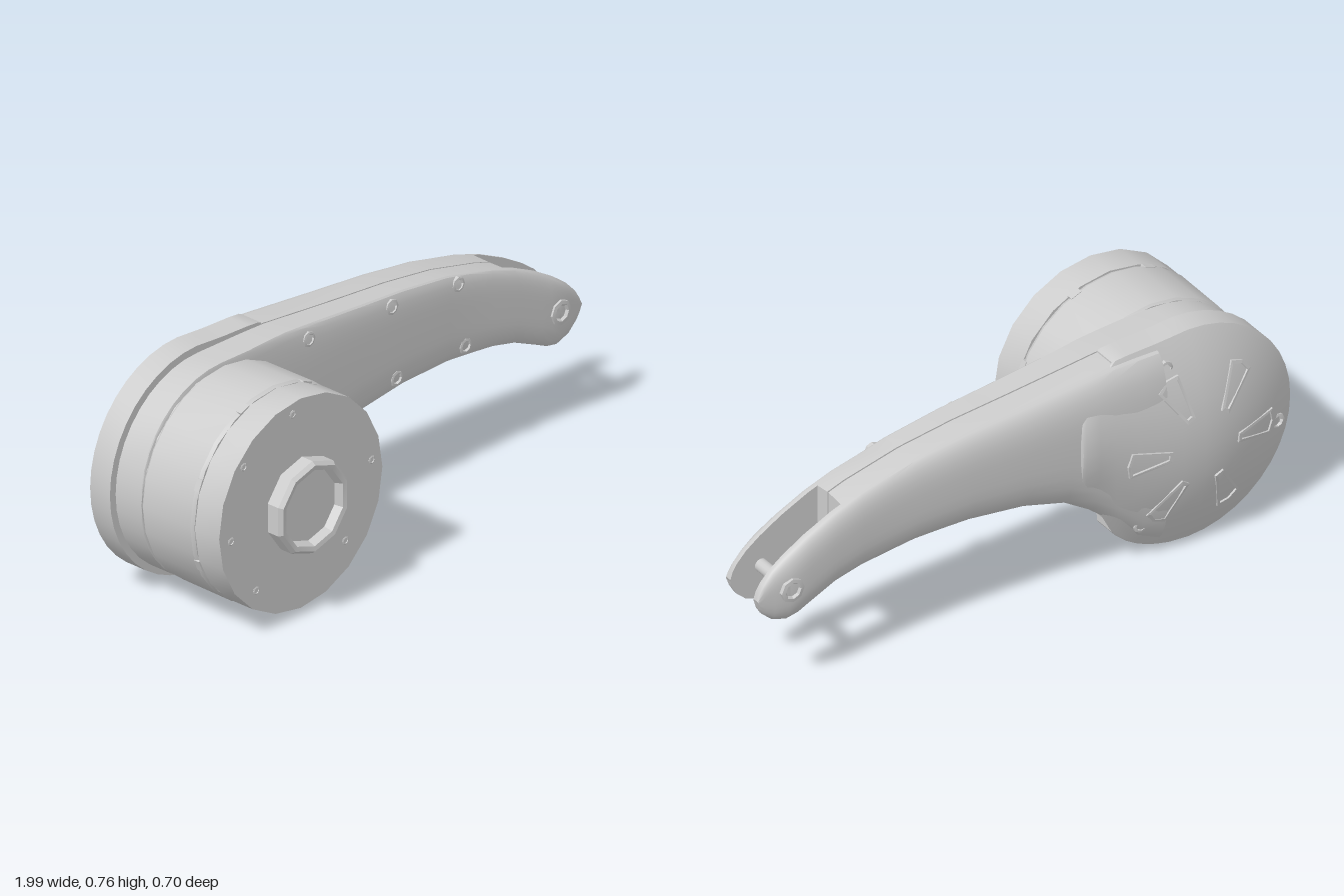
import * as THREE from 'three';
import { toCreasedNormals } from 'three/addons/utils/BufferGeometryUtils.js';

const material = new THREE.MeshStandardMaterial({ color: 0xcccccc, side: THREE.DoubleSide });
const CX = -0.62, CY = 0.38, CAP_R = 0.38, DRUM_R = 0.358;

// Linear interpolation through [x, value] pairs
function lerpTable(table, x) {
  if (x <= table[0][0]) return table[0][1];
  for (let i = 1; i < table.length; i++) {
    const [x0, a] = table[i - 1], [x1, b] = table[i];
    if (x <= x1) return a + (b - a) * (x - x0) / (x1 - x0);
  }
  return table[table.length - 1][1];
}

// Side outline: round head running into a drooping arm
const chord = (x, r) => Math.sqrt(Math.max(0, r * r - (x - CX) ** 2));
const armTop = [[-0.35, 0.738], [-0.18, 0.722], [0, 0.706], [0.2, 0.69], [0.4, 0.664], [0.6, 0.618], [0.7, 0.584],
  [0.8, 0.538], [0.88, 0.492], [0.93, 0.456], [0.965, 0.42], [0.98, 0.395], [0.988, 0.37]];
const armBottom = [[-0.25, 0.238], [-0.15, 0.303], [0, 0.346], [0.2, 0.371], [0.4, 0.374], [0.6, 0.354],
  [0.7, 0.332], [0.8, 0.289], [0.84, 0.271], [0.88, 0.264], [0.93, 0.28], [0.965, 0.312], [0.98, 0.337], [0.988, 0.365]];
const topY = (x, r) => x < CX ? CY + chord(x, r) : lerpTable([[CX, CY + r], ...armTop], x);
const bottomY = (x, r) => x < -0.33 ? CY - chord(x, r) : lerpTable([[-0.33, CY - chord(-0.33, r)], ...armBottom], x);

// Each shell has a flat inner face, a wall up to its edge, and a crowned outer face
const frontShell = {
  r: DRUM_R, side: 1,
  inner: x => x < 0.662 ? -0.157 : -0.11,
  edge: x => lerpTable([[-0.5, -0.055], [-0.2, -0.075], [0.5, -0.095], [1, -0.1]], x),
  crown: x => lerpTable([[-0.4, -0.046], [0, -0.06], [0.5, -0.075], [0.87, -0.066], [0.988, -0.085]], x),
  round: t => Math.sqrt(Math.max(0, 1 - t ** 4)),
};
const backShell = {
  r: DRUM_R, side: -1,
  inner: x => x < 0.662 ? -0.162 : -0.235,
  edge: x => lerpTable([[-0.4, -0.245], [0.3, -0.235], [1, -0.245]], x),
  crown: x => lerpTable([[-0.4, -0.318], [0, -0.3], [0.5, -0.277], [0.87, -0.281], [0.988, -0.26]], x),
  round: t => Math.sqrt(Math.max(0, 1 - Math.abs(t) ** 3)),
};
const capShell = {
  r: CAP_R, side: -1,
  inner: () => -0.16,
  edge: () => -0.245,
  crown: x => x < CX ? -0.245 - 0.102 * (1 - ((x - CX) / CAP_R) ** 2) : lerpTable([[CX, -0.347], [-0.18, -0.326]], x),
  round: t => Math.max(0, 1 - t * t),
};
const outerZ = (s, x, t) => s.edge(x) + (s.crown(x) - s.edge(x)) * s.round(t);
function surfaceZ(s, x, y) {
  const a = bottomY(x, s.r), b = topY(x, s.r);
  return outerZ(s, x, THREE.MathUtils.clamp((2 * y - a - b) / (b - a), -1, 1));
}

// Loft a shell through stations [x, grow, sink]; shear bends the stations across the height
function loftShell(s, stations, shear = () => 0) {
  const n = 14, ring = n + 3, pos = [], index = [];
  for (const [sx, grow = 0, sink = 0] of stations) {
    for (let k = -1; k <= n + 1; k++) {
      const t = -Math.cos(Math.PI * THREE.MathUtils.clamp(k, 0, n) / n);
      const x = sx - shear(sx, t);
      const a = bottomY(x, s.r) - grow, b = topY(x, s.r) + grow;
      const z = k < 0 || k > n ? s.inner(x) : outerZ(s, x, t) - s.side * sink;
      pos.push(x, (a + b) / 2 + t * (b - a) / 2, z);
    }
  }
  for (let i = 0; i < stations.length - 1; i++) {
    for (let j = 0; j < ring; j++) {
      const k = (j + 1) % ring;
      const a = i * ring + j, b = a + ring, c = i * ring + k, d = c + ring;
      if (s.side > 0) index.push(a, b, c, b, d, c);
      else index.push(a, c, b, b, c, d);
    }
  }
  const g = new THREE.BufferGeometry();
  g.setAttribute('position', new THREE.Float32BufferAttribute(pos, 3));
  g.setIndex(index);
  return toCreasedNormals(g, 0.5);
}

export function createModel() {
  const model = new THREE.Group();
  const add = (name, geometry, x = 0, y = 0, z = 0) => {
    const mesh = new THREE.Mesh(geometry, material);
    mesh.name = name;
    mesh.position.set(x, y, z);
    model.add(mesh);
    return mesh;
  };
  // Turned part about the z axis, profile as [radius, z]
  const turned = (profile, sides) => toCreasedNormals(
    new THREE.LatheGeometry(profile.map(p => new THREE.Vector2(...p)), sides).rotateX(Math.PI / 2), 0.4);
  // Small recessed screw, facing +z or -z
  const screw = (name, x, y, z, r, facing) => {
    const g = turned([[r, -0.015], [r, 0.003], [r * 0.7, 0.005], [r * 0.55, -0.004], [0, -0.004]], 8);
    const mesh = add(name, g, x, y, z);
    if (facing < 0) mesh.rotation.y = Math.PI;
  };

  // Arm halves: one body up to the fork, two cheeks beyond it
  const headStations = [];
  for (let i = 0; i <= 10; i++) headStations.push(-Math.cos(Math.PI / 2 * i / 10));
  const armStations = [-0.5, -0.42, -0.33, -0.25, -0.15, 0, 0.1, 0.2, 0.3, 0.4, 0.5, 0.6, 0.66, 0.664,
    0.7, 0.75, 0.8, 0.84, 0.88, 0.93, 0.965, 0.98, 0.988].map(x => [x]);
  add('frontArmShell', loftShell(frontShell, [...headStations.map(c => [CX + c * DRUM_R]), ...armStations]));
  add('backArmShell', loftShell(backShell, armStations));

  // Domed end cap with a bowed lip overlapping the arm
  const bow = (x, t) => 0.16 * t ** 4 * THREE.MathUtils.smoothstep(x, -0.6, -0.18);
  add('domedCap', loftShell(capShell, [
    ...headStations.map(c => [CX + c * CAP_R]),
    [-0.54, 0.001], [-0.46, 0.002], [-0.38, 0.004], [-0.3, 0.006], [-0.24, 0.008],
    [-0.19, 0.008], [-0.18, 0.005, 0.004], [-0.179, -0.02, 0.04]], bow));

  // Radial wedge openings, framed and draped over the dome
  for (let i = 0; i < 6; i++) {
    const wedge = (r0, r1, w0, w1) => [[r0, -w0], [r1, -w1], [r1 + 0.012, 0], [r1, w1], [r0, w0]]
      .map(p => new THREE.Vector2(...p));
    const shape = new THREE.Shape(wedge(0.125, 0.275, 0.016, 0.044));
    shape.holes.push(new THREE.Path(wedge(0.137, 0.266, 0.009, 0.034).reverse()));
    const g = new THREE.ExtrudeGeometry(shape, { depth: 0.014, bevelEnabled: false });
    g.rotateZ(i * Math.PI / 3 + 0.1).translate(CX, CY, -0.007);
    const p = g.attributes.position;
    for (let k = 0; k < p.count; k++) p.setZ(k, p.getZ(k) + surfaceZ(capShell, p.getX(k), p.getY(k)));
    g.computeVertexNormals();
    add('capSlot', g);
  }
  for (const deg of [70, 190, 310]) {
    const a = THREE.MathUtils.degToRad(deg);
    const x = CX + 0.315 * Math.cos(a), y = CY + 0.315 * Math.sin(a);
    screw('capScrew', x, y, surfaceZ(capShell, x, y), 0.026, -1);
  }

  // Drum: barrel and front ring separated by a shallow groove
  const drumX = -0.625;
  add('drumCore', turned([[0.345, -0.1], [0.345, 0.25]], 20), drumX, CY);
  add('drumBarrel', turned([[0.34, -0.043], [0.352, -0.043], [0.358, -0.035], [0.36, 0.17], [0.354, 0.182], [0.34, 0.182]], 24), drumX, CY);
  add('drumFrontRing', turned([[0.34, 0.187], [0.357, 0.187], [0.357, 0.291], [0, 0.291]], 20), drumX, CY);
  for (let i = 0; i < 8; i++) {
    const a = (i + 0.5) * Math.PI / 4;
    const clip = add('drumClip', new THREE.BoxGeometry(0.012, 0.04, 0.022),
      drumX + 0.353 * Math.cos(a), CY + 0.353 * Math.sin(a), 0.176);
    clip.rotation.z = a;
  }
  for (const [x, y] of [[-0.66, 0.695], [-0.875, 0.59], [-0.93, 0.355], [-0.82, 0.15], [-0.43, 0.185], [-0.315, 0.42]])
    screw('drumScrew', x, y, 0.289, 0.014, 1);

  // Hub with a recessed socket
  add('hub', turned([[0.157, 0.28], [0.157, 0.336], [0.146, 0.349], [0.13, 0.346], [0.12, 0.318], [0, 0.318]], 10), CX, CY);

  // Arm screws
  for (const [x, y] of [[-0.235, 0.683], [0.14, 0.658], [0.44, 0.627], [0.16, 0.408], [0.47, 0.408], [-0.14, 0.335]])
    screw('armScrew', x, y, surfaceZ(frontShell, x, y), 0.026, 1);

  // Fork pin and its bosses
  const pin = add('forkPin', new THREE.CylinderGeometry(0.022, 0.022, 0.2, 16), 0.875, 0.385, -0.172);
  pin.rotation.x = Math.PI / 2;
  screw('frontPinBoss', 0.875, 0.385, -0.063, 0.042, 1);
  screw('backPinBoss', 0.875, 0.385, -0.283, 0.042, -1);
  return model;
}
